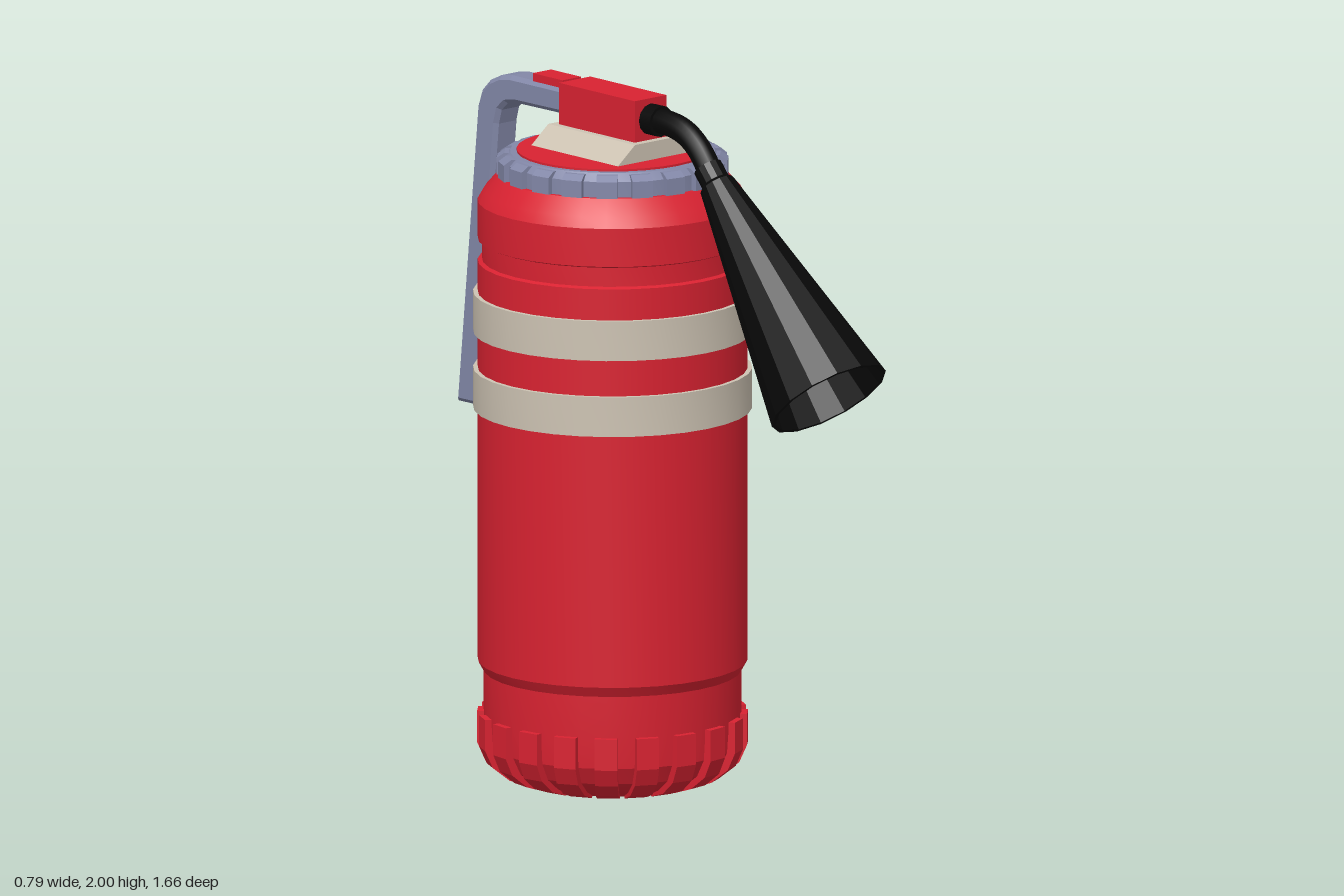
import * as THREE from 'three';
import { toCreasedNormals } from 'three/addons/utils/BufferGeometryUtils.js';

const paint = (color, side = THREE.FrontSide) => new THREE.MeshStandardMaterial({ color, side });
const points = (list) => list.map(([x, y]) => new THREE.Vector2(x, y));

export function createModel() {
  const model = new THREE.Group();
  const red = paint(0xd92231);
  const steel = paint(0x8388a8);
  const cream = paint(0xcdc3b3);
  const black = paint(0x080808, THREE.DoubleSide);

  function add(parent, name, geometry, material) {
    const mesh = new THREE.Mesh(geometry, material);
    mesh.name = name;
    parent.add(mesh);
    return mesh;
  }
  const lathe = (profile, sides = 32) =>
    toCreasedNormals(new THREE.LatheGeometry(points(profile), sides), 0.35);

  // Extrudes an outline symmetrically about its plane, with an optional chamfer
  function slab(outline, depth, bevel = 0) {
    const geometry = new THREE.ExtrudeGeometry(new THREE.Shape(points(outline)), {
      depth: depth - 2 * bevel, bevelEnabled: bevel > 0, bevelSize: bevel,
      bevelThickness: bevel, bevelOffset: -bevel, bevelSegments: 1,
    });
    return geometry.translate(0, 0, -depth / 2 + bevel);
  }

  // Everything turned about the cylinder axis
  const cylinder = new THREE.Group();
  cylinder.name = 'cylinder';
  cylinder.position.z = -0.215;
  model.add(cylinder);

  add(cylinder, 'tank', lathe([
    [0, 0.015], [0.15, 0.015], [0.155, 0.003], [0.24, 0.003], [0.29, 0.025], [0.335, 0.06],
    [0.36, 0.11], [0.365, 0.18], [0.365, 0.32], [0.382, 0.35], [0.382, 1.505], [0.37, 1.51],
    [0.37, 1.565], [0.382, 1.57], [0.382, 1.68], [0.365, 1.71], [0.325, 1.755], [0, 1.755],
  ]), red);

  // Reflective bands
  for (const y of [1.08, 1.3]) {
    add(cylinder, 'band', lathe([
      [0.375, y], [0.395, y], [0.395, y + 0.115], [0.375, y + 0.115],
    ]), cream);
  }

  // Curved grip ribs round the foot
  const ribOutline = [
    [0.23, 0.03], [0.25, 0], [0.31, 0.02], [0.36, 0.06], [0.382, 0.11], [0.382, 0.2],
    [0.35, 0.2], [0.34, 0.11],
  ];
  // Locking collar with teeth, and the lid inside it
  add(cylinder, 'collar', lathe([
    [0.3, 1.75], [0.312, 1.755], [0.312, 1.8], [0.29, 1.822], [0.27, 1.822], [0.27, 1.8],
  ], 40), steel);
  const toothOutline = [
    [0.285, 1.755], [0.327, 1.755], [0.327, 1.803], [0.305, 1.818], [0.285, 1.818],
  ];
  const COUNT = 20;
  for (let i = 0; i < COUNT; i++) {
    const angle = (i + 0.5) / COUNT * Math.PI * 2;
    add(cylinder, 'footRib', slab(ribOutline, 0.065), red).rotation.y = angle;
    add(cylinder, 'collarTooth', slab(toothOutline, 0.06), steel).rotation.y = angle;
  }
  add(cylinder, 'lid', lathe([[0.272, 1.75], [0.272, 1.828], [0, 1.828]]), red);

  // Valve mount and valve body
  add(model, 'valveMount', slab([
    [-0.145, 1.82], [0.145, 1.82], [0.145, 1.828], [0.08, 1.88], [-0.08, 1.88], [-0.145, 1.828],
  ], 0.365), cream).position.z = -0.215;
  add(model, 'valveBody', new THREE.BoxGeometry(0.12, 0.12, 0.32), red).position.set(0, 1.94, -0.215);
  add(model, 'trigger', new THREE.BoxGeometry(0.07, 0.04, 0.125), red).position.set(0, 1.981, -0.45);

  // Bent lever, outlined in the side plane
  const lever = slab([
    [-0.36, 1.98], [-0.6, 1.98], [-0.645, 1.973], [-0.69, 1.952], [-0.725, 1.917], [-0.742, 1.87],
    [-0.828, 1.0], [-0.74, 1.0], [-0.657, 1.83], [-0.645, 1.872], [-0.62, 1.895], [-0.58, 1.903],
    [-0.36, 1.905],
  ], 0.09, 0.012).rotateY(-Math.PI / 2);
  add(model, 'lever', lever, steel);

  // Hose
  const hosePath = new THREE.CatmullRomCurve3([
    [1.94, -0.06], [1.94, 0.02], [1.925, 0.09], [1.89, 0.145], [1.825, 0.2], [1.785, 0.235],
  ].map(([y, z]) => new THREE.Vector3(0, y, z)));
  add(model, 'hose', new THREE.TubeGeometry(hosePath, 24, 0.036, 12), black);
  const fitting = new THREE.CylinderGeometry(0.045, 0.045, 0.05, 12).rotateX(Math.PI / 2);
  add(model, 'hoseFitting', fitting, black).position.set(0, 1.94, -0.035);

  // Open discharge horn, hanging forward and down from the hose
  const hornStart = new THREE.Vector3(0, 1.84, 0.185);
  const hornEnd = new THREE.Vector3(0, 1.255, 0.695);
  const hornAxis = hornEnd.clone().sub(hornStart);
  const length = hornAxis.length();
  const horn = add(model, 'horn', lathe([
    [0.036, 0], [0.042, 0], [0.042, 0.05], [0.052, 0.06], [0.18, length],
    [0.168, length], [0.04, 0.09], [0, 0.09],
  ], 14), black);
  horn.position.copy(hornStart);
  horn.quaternion.setFromUnitVectors(new THREE.Vector3(0, 1, 0), hornAxis.normalize());

  return model;
}
